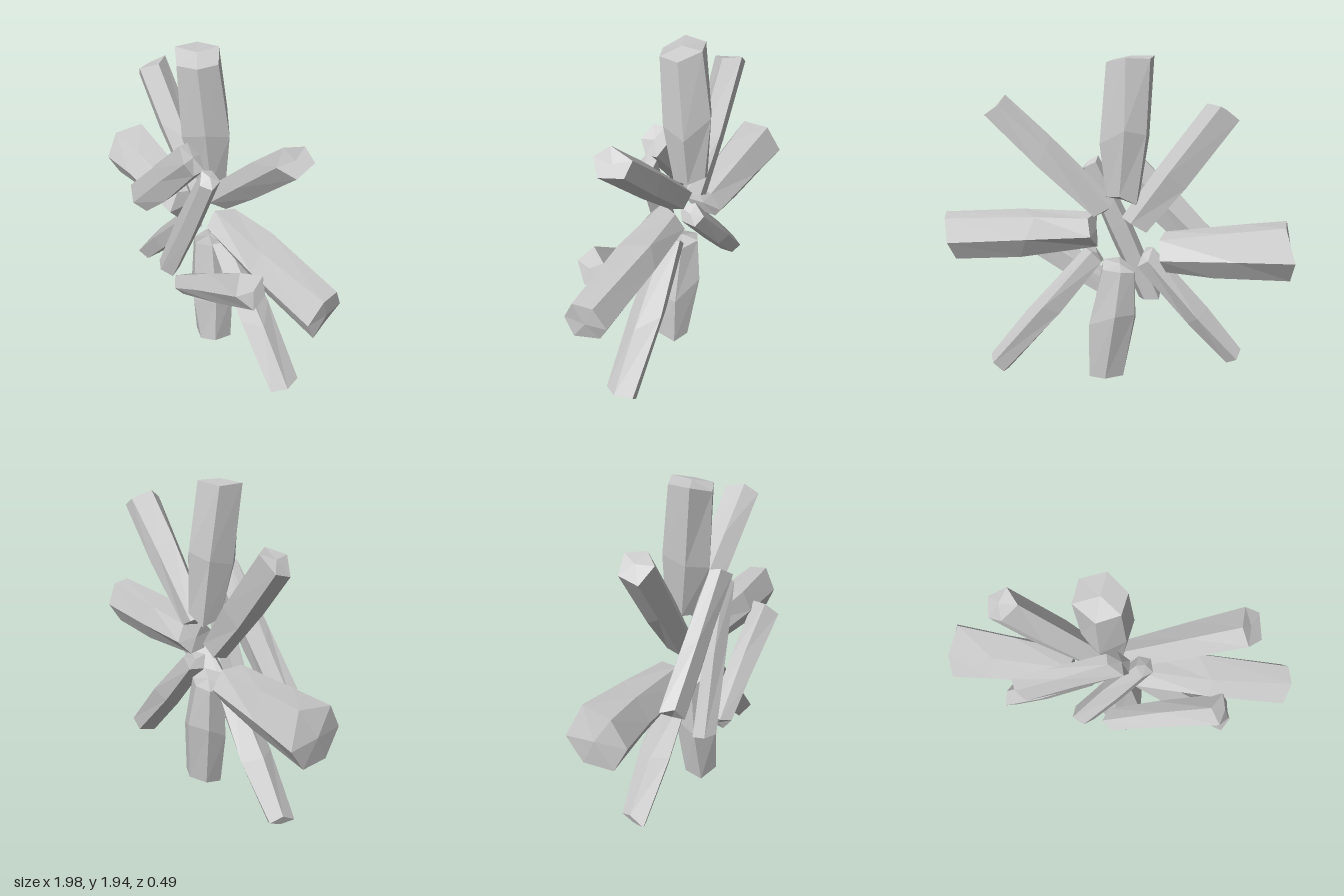
import * as THREE from 'three';

// Small repeatable noise source, -1..1
function makeNoise(seed) {
  let s = seed * 7919 + 17;
  return () => {
    s = (s * 16807) % 2147483647;
    return (s / 2147483647) * 2 - 1;
  };
}

const material = new THREE.MeshStandardMaterial({ color: 0xcccccc, flatShading: true });

// A rough-hewn log: irregular rings lofted from start to end, capped at both ends.
// w = half widths across the face, d = half depths in z (start, middle, end).
function makeLog({ name, from, to, w, d, sides = 6, phase = 0 }, index) {
  const noise = makeNoise(index + 3);
  const a = new THREE.Vector3(...from), b = new THREE.Vector3(...to);
  const dir = b.clone().sub(a).normalize();
  const across = new THREE.Vector3(-dir.y, dir.x, 0).normalize();
  const depth = new THREE.Vector3().crossVectors(dir, across);
  const rings = [0, 0.5, 1].map((t, k) => {
    const ring = [];
    for (let j = 0; j < sides; j++) {
      const angle = phase + (j / sides) * Math.PI * 2 + noise() * 0.1;
      const swell = 1 + noise() * 0.06;
      const slide = noise() * (k === 1 ? 0.1 : 0.025);
      ring.push(a.clone().lerp(b, t)
        .addScaledVector(across, Math.cos(angle) * w[k] * swell)
        .addScaledVector(depth, Math.sin(angle) * d[k] * swell)
        .addScaledVector(dir, slide));
    }
    return ring;
  });

  const points = [];
  const first = rings[0], last = rings[2];
  const tipA = a.clone().addScaledVector(dir, -0.015);
  const tipB = b.clone().addScaledVector(dir, 0.015);
  for (let j = 0; j < sides; j++) {
    const n = (j + 1) % sides;
    for (let k = 0; k < 2; k++) {
      const [p, q] = [rings[k], rings[k + 1]];
      points.push(p[j], p[n], q[n], p[j], q[n], q[j]);
    }
    points.push(tipA, first[n], first[j], tipB, last[j], last[n]);
  }
  const geometry = new THREE.BufferGeometry().setFromPoints(points);
  geometry.computeVertexNormals();
  const mesh = new THREE.Mesh(geometry, material);
  mesh.name = name;
  return mesh;
}

// Ring of logs pointing outwards
const radialLogs = [
  { name: 'topLog', from: [-0.05, 1.18, -0.08], to: [-0.08, 1.93, -0.01], w: [0.1, 0.14, 0.13], d: [0.1, 0.15, 0.13], phase: 0.4 },
  { name: 'upperRightLog', from: [0.06, 1.1, -0.07], to: [0.64, 1.66, -0.05], w: [0.08, 0.09, 0.085], d: [0.08, 0.1, 0.11], sides: 5, phase: 0.3 },
  { name: 'rightLog', from: [0.12, 0.97, -0.04], to: [0.95, 0.91, -0.05], w: [0.1, 0.14, 0.14], d: [0.11, 0.13, 0.12], phase: 0.5 },
  { name: 'lowerRightLog', from: [0.11, 0.82, -0.05], to: [0.7, 0.1, -0.06], w: [0.075, 0.085, 0.075], d: [0.08, 0.11, 0.1], sides: 5, phase: 0.2 },
  { name: 'bottomLog', from: [-0.03, 0.75, -0.05], to: [0.05, 0.03, -0.03], w: [0.11, 0.15, 0.12], d: [0.1, 0.13, 0.11], phase: 0.5 },
  { name: 'lowerLeftLog', from: [-0.17, 0.81, -0.03], to: [-0.72, 0.18, -0.05], w: [0.07, 0.075, 0.06], d: [0.08, 0.1, 0.08], sides: 5, phase: 0.7 },
  { name: 'leftLog', from: [-0.28, 0.85, -0.06], to: [-0.98, 0.89, -0.08], w: [0.11, 0.15, 0.18], d: [0.12, 0.14, 0.16], phase: 0.52 },
  { name: 'upperLeftLog', from: [-0.13, 1.02, -0.07], to: [-0.59, 1.66, -0.05], w: [0.09, 0.11, 0.11], d: [0.07, 0.09, 0.09], sides: 5, phase: 0.5 },
];

// Three logs leaning across the front
const frontLogs = [
  { name: 'frontLeftLog', from: [0.02, 1.4, 0.1], to: [-0.53, 0.82, 0.1], w: [0.1, 0.12, 0.11], d: [0.07, 0.07, 0.07], phase: 0.4 },
  { name: 'frontMiddleLog', from: [-0.21, 0.48, 0.13], to: [0.15, 1.33, 0.08], w: [0.075, 0.08, 0.065], d: [0.065, 0.065, 0.055], sides: 5, phase: 0.4 },
  { name: 'frontRightLog', from: [-0.03, 0.48, 0.14], to: [0.62, 0.92, 0.15], w: [0.065, 0.095, 0.11], d: [0.07, 0.08, 0.09], sides: 5, phase: 0.3 },
];

export function createModel() {
  const model = new THREE.Group();
  model.name = 'logPile';
  [...radialLogs, ...frontLogs].forEach((log, i) => model.add(makeLog(log, i)));
  return model;
}
